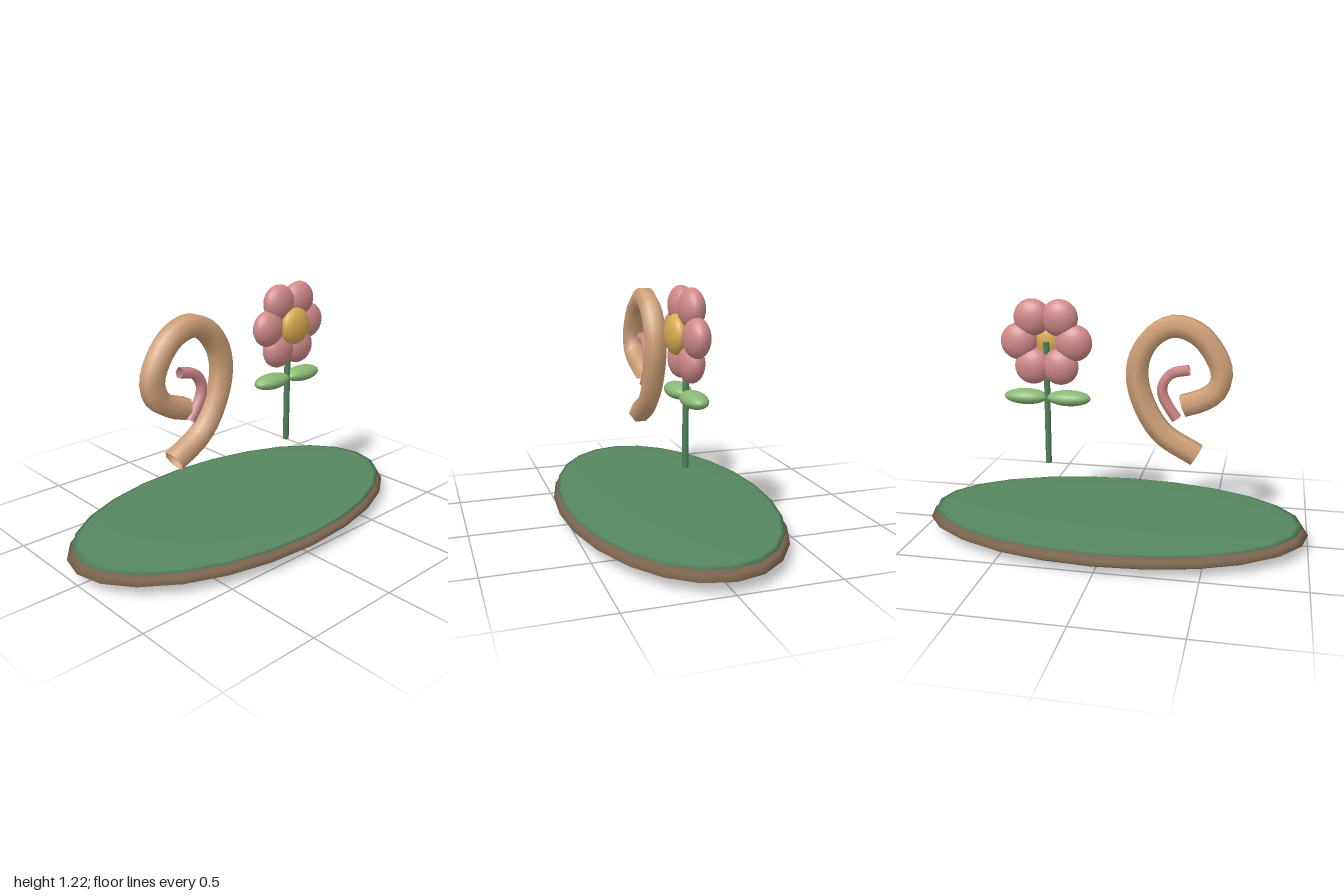
import * as THREE from 'three';

const mat = (color, side = THREE.FrontSide) => new THREE.MeshStandardMaterial({ color, side });

function ellipsoid(name, material, pos, radii, ws = 20, hs = 14) {
  const mesh = new THREE.Mesh(new THREE.SphereGeometry(1, ws, hs), material);
  mesh.name = name;
  mesh.position.set(...pos);
  mesh.scale.set(...radii);
  return mesh;
}

// Open six-sided tube along a flat path of [x, y] points
function flatTube(name, color, points, radius, segments) {
  const curve = new THREE.CatmullRomCurve3(points.map(([x, y]) => new THREE.Vector3(x, y, 0)));
  const mesh = new THREE.Mesh(
    new THREE.TubeGeometry(curve, segments, radius, 6, false),
    mat(color, THREE.DoubleSide)
  );
  mesh.name = name;
  return mesh;
}

export function createModel() {
  const model = new THREE.Group();
  model.name = 'flowerAndCurlOnIsland';

  // Oval ground: soil with a thin grass layer
  model.add(
    ellipsoid('soil', mat(0x7a634d), [0, 0.06, 0], [1, 0.06, 0.545], 24, 12),
    ellipsoid('grass', mat(0x55875f), [0, 0.105, 0], [0.97, 0.0175, 0.525], 24, 12)
  );

  // Large curl and the small one inside it
  model.add(
    flatTube('largeCurl', 0xcfa177, [
      [-0.425, 0.45], [-0.25, 0.555], [-0.155, 0.7], [-0.117, 0.85], [-0.14, 0.97],
      [-0.22, 1.07], [-0.31, 1.103], [-0.42, 1.065], [-0.505, 0.965], [-0.538, 0.87],
      [-0.515, 0.79], [-0.45, 0.74], [-0.35, 0.705]
    ], 0.06, 40),
    flatTube('smallCurl', 0xcf8888, [
      [-0.378, 0.887], [-0.29, 0.865], [-0.248, 0.81], [-0.246, 0.76], [-0.275, 0.7], [-0.32, 0.635]
    ], 0.028, 14)
  );

  // Flower
  const flower = new THREE.Group();
  flower.name = 'flower';
  flower.position.x = 0.35;
  model.add(flower);

  const stem = new THREE.Mesh(new THREE.CylinderGeometry(0.016, 0.016, 0.64, 8), mat(0x4f8159));
  stem.name = 'stem';
  stem.position.y = 0.68;
  flower.add(stem);

  const leafMat = mat(0x8ab873);
  for (const s of [-1, 1]) {
    flower.add(ellipsoid(s > 0 ? 'leftLeaf' : 'rightLeaf', leafMat,
      [s * 0.113, 0.713, 0], [0.115, 0.04, 0.06]));
  }

  const petalMat = mat(0xcf8888);
  for (let i = 0; i < 6; i++) {
    const a = (i * Math.PI) / 3;
    flower.add(ellipsoid('petal', petalMat,
      [0.143 * Math.cos(a), 1 + 0.143 * Math.sin(a), 0], [0.095, 0.094, 0.06]));
  }
  flower.add(ellipsoid('flowerCentre', mat(0xd6aa4f), [0, 1, 0.05], [0.095, 0.095, 0.05]));

  return model;
}
